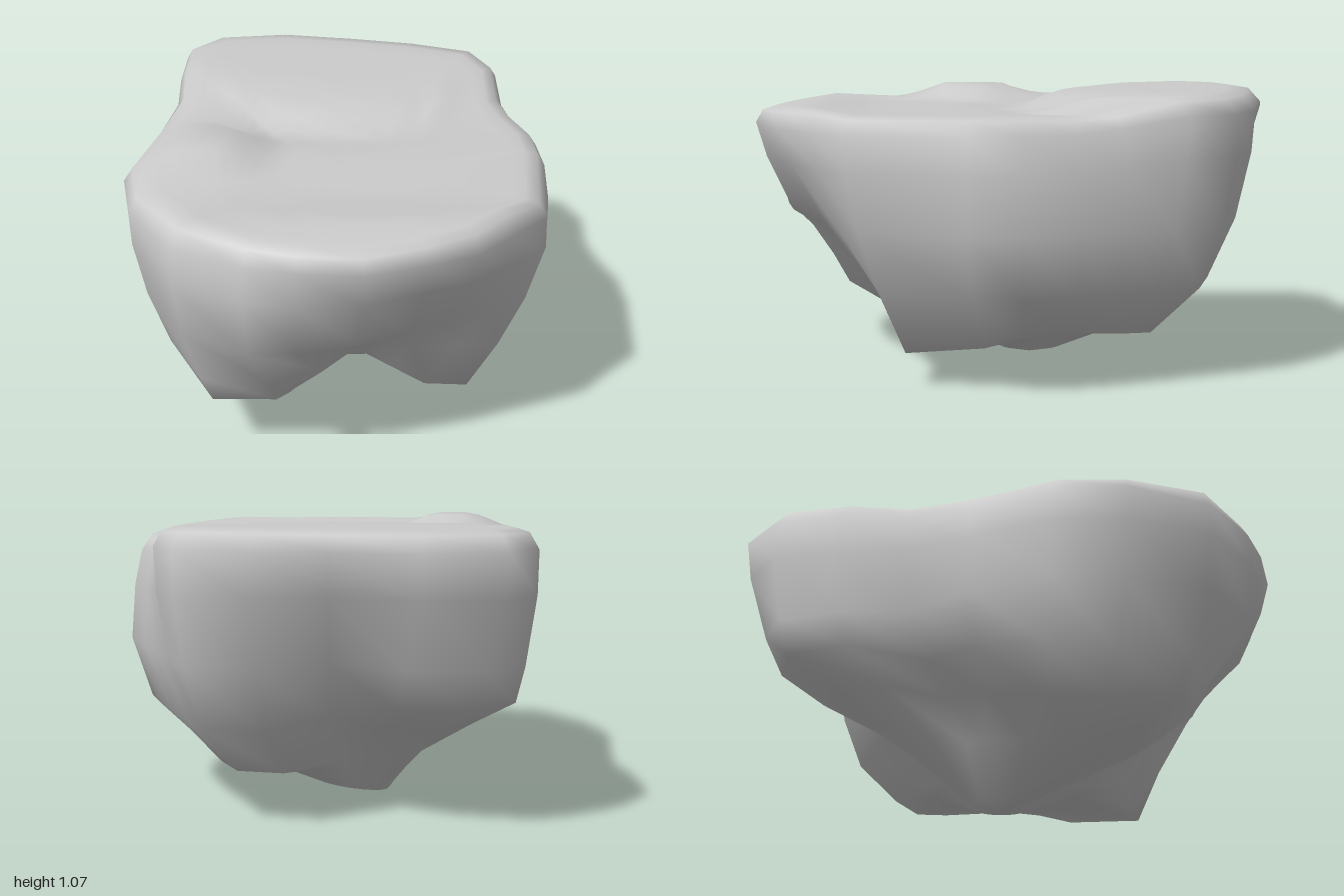
import * as THREE from 'three';
import { mergeVertices } from 'three/addons/utils/BufferGeometryUtils.js';

// Columns round the rock: angle in degrees from the front (+z) towards +x,
// radius at the rim, middle, lower wall and foot, then the height of the foot.
const COLUMNS = [
  [4, 0.995, 0.86, 0.5, 0.35, 0.24],
  [17, 0.965, 0.8, 0.46, 0.34, 0.24],
  [28, 0.96, 0.79, 0.54, 0.42, 0.19],
  [39, 0.915, 0.82, 0.66, 0.5, 0.13],
  [50, 0.915, 0.85, 0.75, 0.62, 0.13],
  [78, 0.765, 0.795, 0.72, 0.54, 0.16],
  [92, 0.74, 0.785, 0.71, 0.53, 0.2],
  [108, 0.715, 0.75, 0.69, 0.51, 0.21],
  [120, 0.745, 0.76, 0.7, 0.53, 0.2],
  [133, 0.877, 0.82, 0.74, 0.58, 0.19],
  [144, 0.96, 0.91, 0.82, 0.62, 0.18],
  [160, 0.935, 0.87, 0.77, 0.58, 0.18],
  [177, 0.945, 0.69, 0.55, 0.42, 0.28],
  [194, 1.03, 0.88, 0.76, 0.55, 0.34],
  [209, 1.1, 1.0, 0.93, 0.7, 0.35],
  [219, 1.04, 0.99, 0.95, 0.74, 0.36],
  [230, 0.86, 0.84, 0.8, 0.64, 0.37],
  [244, 0.72, 0.65, 0.55, 0.42, 0.34],
  [266, 0.715, 0.7, 0.62, 0.48, 0.31],
  [290, 0.835, 0.785, 0.72, 0.57, 0.26],
  [306, 0.91, 0.86, 0.78, 0.67, 0.23],
  [325, 0.985, 0.955, 0.87, 0.81, 0.25],
  [341, 0.985, 0.97, 0.79, 0.72, 0.26],
  [351, 0.985, 0.92, 0.66, 0.5, 0.25],
];
const N = COLUMNS.length;

const polar = (degrees, r, y) => {
  const a = THREE.MathUtils.degToRad(degrees);
  return new THREE.Vector3(r * Math.sin(a), y, r * Math.cos(a));
};

// Distance in front of the curved crest of the raised back half.
const beyondCrest = (x, z) => z + 0.1 + (x > 0 ? 0.75 : 0.5) * x * x;

const backStep = (x, z) => 1 - THREE.MathUtils.smoothstep(beyondCrest(x, z), -0.05, 0.09);

// Top surface: front half, raised back, a trough at its foot and a small mound.
function topHeight(x, z) {
  const mound = Math.min(0.065, 0.13 * Math.max(0, 1 - Math.hypot(x + 0.5, z - 0.18) / 0.26));
  const swell = 0.02 * Math.max(0, 1 - Math.abs(z - 0.75) / 0.2);
  const trough = 0.015 * Math.max(0, 1 - Math.abs(beyondCrest(x, z) - 0.12) / 0.14);
  const rise = 0.022 * THREE.MathUtils.smoothstep(-beyondCrest(x, z), 0, 0.3);
  return 1 + 0.045 * backStep(x, z) + rise + mound + swell - trough;
}

function createRows() {
  const ring = (fn) => COLUMNS.map((column) => fn(...column));
  const rim = ring((a, r) => {
    const p = polar(a, r, 0.94);
    p.y += 0.06 * backStep(p.x, p.z);
    return p;
  });
  const mid = ring((a, r, m) => polar(a, m, 0.6));
  const low = ring((a, r, m, l, f, y) => polar(a, l, Math.max(0.37, y + 0.11)));
  const foot = ring((a, r, m, l, f, y) => polar(a, f, y));
  // Lowest tip under the middle
  const tip = ring((a) => {
    const p = polar(a, 1, 0);
    p.set(-0.07 + 0.15 * p.x, 0, -0.06 + 0.11 * p.z);
    p.y = 0.005 + 0.15 * Math.max(0, p.x + 0.2);
    return p;
  });
  // Underside between the tip and the lobes, reaching out below the front one
  const hollow = ring((a) => Math.max(0, Math.cos(THREE.MathUtils.degToRad(a - 325))) ** 8)
    .map((reach, j) => {
      const p = tip[j].clone().lerp(foot[j], 0.5 + 0.23 * reach);
      p.y = Math.max(0.145, (0.6 - 0.1 * reach) * foot[j].y);
      return p;
    });
  const shoulder = mid.map((m, j) => {
    const p = m.clone().lerp(rim[j], 0.62);
    p.x *= 1.015;
    p.z *= 1.015;
    return p;
  });
  // Rings across the top, closing at a hub on the front half
  const steps = Array.from({ length: 16 }, (_, i) => 0.96 * (1 - i / 15));
  const tops = steps.map((s) => rim.map((r) => {
    const x = r.x * s, z = THREE.MathUtils.lerp(0.3, r.z, s);
    return new THREE.Vector3(x, topHeight(x, z) - (s > 0.93 ? 0.012 : 0), z);
  }));
  const bottom = ring(() => new THREE.Vector3(-0.09, 0, -0.06));
  return [bottom, tip, hollow, foot, low, mid, shoulder, rim, ...tops];
}

// Joins the rings, from the bottom to the top hub, into one closed skin.
function skin(rows) {
  const index = [];
  for (let i = 0; i < rows.length - 1; i++) {
    for (let j = 0; j < N; j++) {
      const k = (j + 1) % N;
      const a = i * N + j, b = i * N + k, c = b + N, d = a + N;
      if (i > 0) index.push(a, b, d);
      else index.push(a, c, d);
      if (i > 0 && i < rows.length - 2) index.push(b, c, d);
    }
  }
  const geometry = new THREE.BufferGeometry().setFromPoints(rows.flat());
  geometry.setIndex(index);
  const merged = mergeVertices(geometry);
  merged.computeVertexNormals();
  return merged;
}

export function createModel() {
  const group = new THREE.Group();
  group.name = 'floatingRock';
  const rock = new THREE.Mesh(skin(createRows()), new THREE.MeshStandardMaterial({ color: 0xcccccc }));
  rock.name = 'rockBody';
  group.add(rock);
  return group;
}
